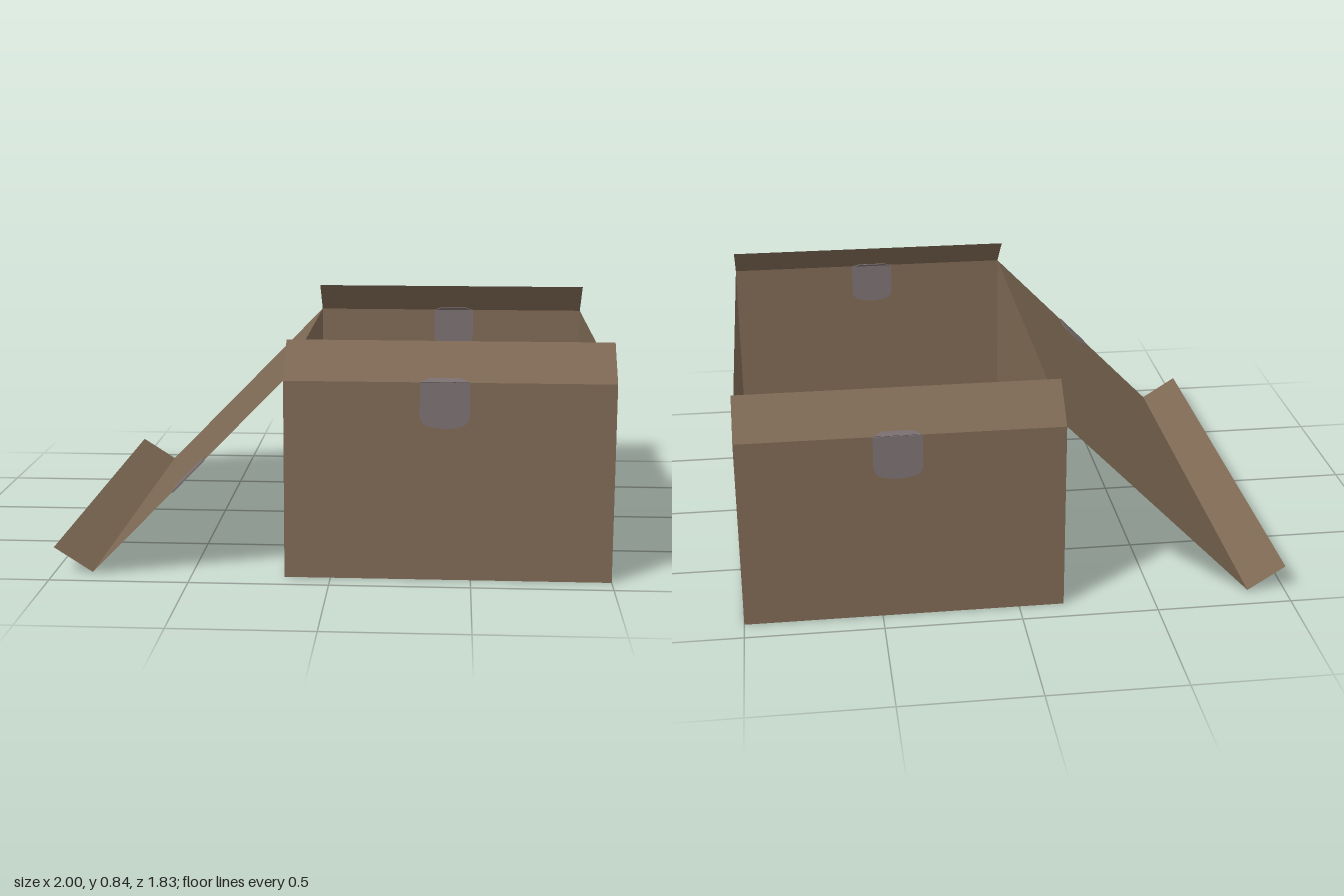
import * as THREE from 'three';

const cardboard = new THREE.MeshStandardMaterial({ color: 0x7d6853, side: THREE.DoubleSide });
cardboard.name = 'cardboard';
const tape = new THREE.MeshStandardMaterial({ color: 0x7a6f70 });
tape.name = 'greyTape';

// Main dimensions
const X0 = -0.165, X1 = 1, Z = 0.91, H = 0.715;
const FLAP_Y = 0.84, FLAP_Z = 0.772;
const V = (x, y, z) => new THREE.Vector3(x, y, z);

// Flat sheet of card from four corners in order around the edge
function panel(name, ...corners) {
  const geometry = new THREE.BufferGeometry().setFromPoints(corners);
  geometry.setIndex([0, 1, 2, 0, 2, 3]);
  geometry.computeVertexNormals();
  const mesh = new THREE.Mesh(geometry, cardboard);
  mesh.name = name;
  return mesh;
}

// Thin plate showing on both faces of a sheet; u and v span the sheet
function plate(name, shape, origin, u, v) {
  const depth = 0.006;
  const geometry = new THREE.ExtrudeGeometry(shape, { depth, bevelEnabled: false, curveSegments: 6 });
  geometry.translate(0, 0, -depth / 2);
  u.normalize();
  v.normalize();
  geometry.applyMatrix4(new THREE.Matrix4().makeBasis(u, v, u.clone().cross(v)).setPosition(origin));
  const mesh = new THREE.Mesh(geometry, tape);
  mesh.name = name;
  return mesh;
}

// Tape patch hanging from a straight top edge, rounded at the bottom
function patchShape(w, h) {
  const s = new THREE.Shape();
  s.moveTo(-w, 0);
  s.lineTo(-w, -h * 0.7);
  s.quadraticCurveTo(-w, -h * 0.92, -w * 0.55, -h * 0.96);
  s.quadraticCurveTo(0, -h * 1.03, w * 0.55, -h * 0.96);
  s.quadraticCurveTo(w, -h * 0.92, w, -h * 0.7);
  s.lineTo(w, 0);
  s.closePath();
  return s;
}

// Short end of the tape folded over onto a flap
function foldShape() {
  const s = new THREE.Shape();
  s.moveTo(-0.085, 0);
  s.lineTo(0.085, 0);
  s.lineTo(0.055, 0.018);
  s.lineTo(-0.055, 0.018);
  s.closePath();
  return s;
}

export function createModel() {
  const group = new THREE.Group();

  // Floor and long side walls
  group.add(panel('floor', V(X0, 0, -Z), V(X0, 0, Z), V(X1, 0, Z), V(X1, 0, -Z)));
  group.add(panel('leftWall', V(X1, 0, Z), V(X1, 0, -Z), V(X1, H, -Z), V(X1, H, Z)));
  group.add(panel('rightWall', V(X0, 0, -Z), V(X0, 0, Z), V(X0, H, Z), V(X0, H, -Z)));

  // End walls with their inward-leaning flaps and tape
  for (const [side, s, tapeX] of [['front', 1, 0.402], ['back', -1, 0.432]]) {
    const a = s > 0 ? X0 : X1, b = s > 0 ? X1 : X0;
    group.add(panel(side + 'Wall', V(a, 0, s * Z), V(b, 0, s * Z), V(b, H, s * Z), V(a, H, s * Z)));
    group.add(panel(side + 'Flap', V(a, H, s * Z), V(b, H, s * Z),
      V(b, FLAP_Y, s * FLAP_Z), V(a, FLAP_Y, s * FLAP_Z)));
    const origin = V(tapeX, H, s * Z);
    group.add(plate(side + 'Tape', patchShape(0.0875, 0.165), origin, V(s, 0, 0), V(0, 1, 0)));
    group.add(plate(side + 'TapeFold', foldShape(), origin, V(s, 0, 0),
      V(0, FLAP_Y - H, s * (FLAP_Z - Z))));
  }

  // Open lid sloping to the ground, with its upturned tuck flap
  const foldX = -0.86, foldY = 0.005;
  group.add(panel('lid', V(foldX, foldY, -Z), V(foldX, foldY, Z), V(X0, H, Z), V(X0, H, -Z)));
  group.add(panel('lidTuckFlap', V(-1, 0.095, -Z), V(-1, 0.095, Z), V(foldX, foldY, Z), V(foldX, foldY, -Z)));
  const slope = V(foldX - X0, foldY - H, 0);
  const lidPoint = V(X0, H, Z).addScaledVector(slope, 0.496);
  group.add(plate('lidTape', patchShape(0.079, 0.105), lidPoint, slope, V(0, 0, 1)));

  return group;
}
